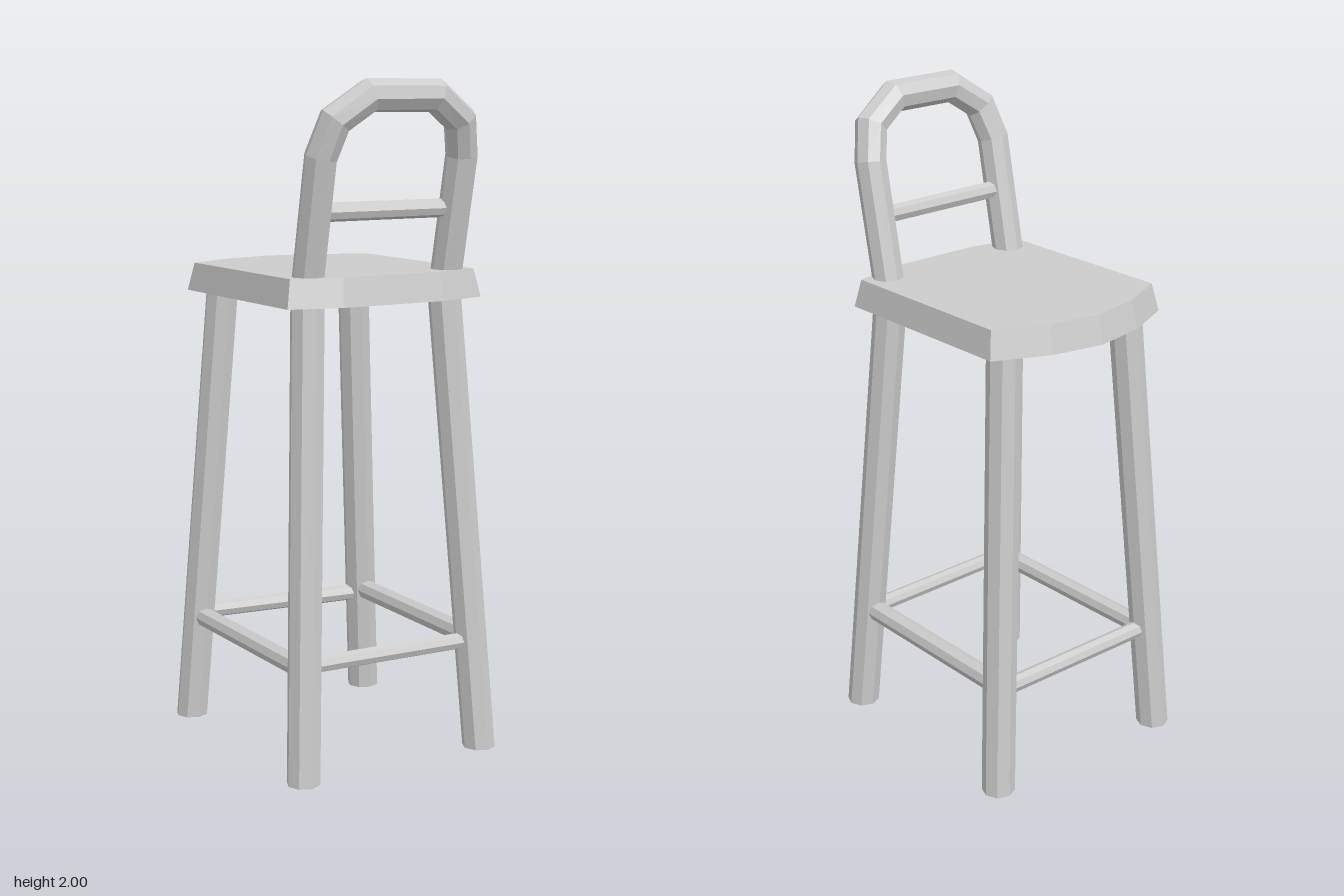
import * as THREE from 'three';

const material = new THREE.MeshStandardMaterial({ color: 0xcccccc, flatShading: true });
const v = (x, y, z) => new THREE.Vector3(x, y, z);

function part(group, name, geometry) {
  const mesh = new THREE.Mesh(geometry, material);
  mesh.name = name;
  group.add(mesh);
}

// Round bar between two points, cut square to its axis
function bar(a, b, radius) {
  const dir = b.clone().sub(a);
  const g = new THREE.CylinderGeometry(radius, radius, dir.length(), 8);
  g.applyQuaternion(new THREE.Quaternion().setFromUnitVectors(v(0, 1, 0), dir.normalize()));
  const mid = a.clone().add(b).multiplyScalar(0.5);
  return g.translate(mid.x, mid.y, mid.z);
}

// Splayed leg: a cylinder sheared so both ends stay level
function splayedLeg(foot, top, radius) {
  const h = top.y - foot.y;
  const g = new THREE.CylinderGeometry(radius, radius, h, 8);
  const p = g.attributes.position;
  for (let i = 0; i < p.count; i++) {
    const t = p.getY(i) / h + 0.5;
    p.setXYZ(i,
      p.getX(i) + foot.x + (top.x - foot.x) * t,
      foot.y + h * t,
      p.getZ(i) + foot.z + (top.z - foot.z) * t);
  }
  return g;
}

// Bent tube with mitred corners along a list of points (ends are buried in the seat)
function mitredTube(points, radius, sides) {
  const pos = [], idx = [], last = points.length - 1;
  points.forEach((p, i) => {
    const into = p.clone().sub(points[Math.max(i - 1, 0)]).normalize();
    const out = points[Math.min(i + 1, last)].clone().sub(p).normalize();
    const t = into.clone().add(out).normalize();
    const mitre = 1 / t.dot(i === 0 ? out : into);
    const b = v(0, -0.2, 1);
    b.addScaledVector(t, -b.dot(t)).normalize();
    const n = t.clone().cross(b);
    for (let k = 0; k < sides; k++) {
      const a = (k / sides) * Math.PI * 2;
      const q = p.clone()
        .addScaledVector(n, Math.cos(a) * radius * mitre)
        .addScaledVector(b, Math.sin(a) * radius);
      pos.push(q.x, q.y, q.z);
      if (i < last) {
        const k2 = (k + 1) % sides, r = i * sides, s = r + sides;
        idx.push(r + k, s + k, r + k2, r + k2, s + k, s + k2);
      }
    }
  });
  const g = new THREE.BufferGeometry();
  g.setAttribute('position', new THREE.Float32BufferAttribute(pos, 3));
  g.setIndex(idx);
  g.computeVertexNormals();
  return g;
}

// Seat slab: bowed outline, top slightly smaller than the underside
function seatGeometry() {
  const outline = [
    [-0.327, 0.302], [-0.17, 0.343], [0.17, 0.343], [0.327, 0.302],
    [0.327, -0.315], [0.165, -0.39], [0, -0.42], [-0.165, -0.39], [-0.327, -0.315],
  ];
  const shape = new THREE.Shape(outline.map(([x, z]) => new THREE.Vector2(x, -z)));
  const g = new THREE.ExtrudeGeometry(shape, { depth: 0.083, bevelEnabled: false });
  g.rotateX(-Math.PI / 2);
  const p = g.attributes.position;
  for (let i = 0; i < p.count; i++) {
    if (p.getY(i) > 0.04) {
      p.setX(i, p.getX(i) * 0.95);
      p.setZ(i, p.getZ(i) * 0.95);
    }
  }
  g.translate(-0.009, 1.368, 0);
  g.computeVertexNormals();
  return g;
}

export function createModel() {
  const model = new THREE.Group();
  model.name = 'barStool';

  part(model, 'seat', seatGeometry());

  // Legs, in order around the stool
  const legs = [
    [v(-0.316, 0, 0.348), v(-0.245, 1.38, 0.255)],
    [v(0.3, 0, 0.348), v(0.22, 1.38, 0.255)],
    [v(0.312, 0, -0.34), v(0.225, 1.38, -0.265)],
    [v(-0.316, 0, -0.367), v(-0.24, 1.38, -0.27)],
  ];
  legs.forEach(([foot, top], i) => part(model, 'leg' + (i + 1), splayedLeg(foot, top, 0.05)));

  // Rungs joining neighbouring legs: start height, end height, radius
  const onLeg = (i, y) => legs[i][0].clone().lerp(legs[i][1], y / 1.38);
  const rungs = [[0.342, 0.333, 0.025], [0.342, 0.342, 0.032], [0.328, 0.342, 0.026], [0.331, 0.331, 0.03]];
  rungs.forEach(([y0, y1, r], i) =>
    part(model, 'rung' + (i + 1), bar(onLeg(i, y0), onLeg((i + 1) % 4, y1), r)));

  // Hooped backrest, mirrored about its centre
  const half = [[0.235, 1.4, 0.245], [0.235, 1.785, 0.325], [0.207, 1.885, 0.355], [0.108, 1.953, 0.374]];
  const cx = -0.008;
  const hoop = [
    ...half.map(([x, y, z]) => v(cx - x, y, z)),
    ...half.map(([x, y, z]) => v(cx + x, y, z)).reverse(),
  ];
  part(model, 'backrestHoop', mitredTube(hoop, 0.047, 8));
  part(model, 'backrestBar', bar(v(-0.235, 1.632, 0.292), v(0.22, 1.632, 0.284), 0.027));

  return model;
}
